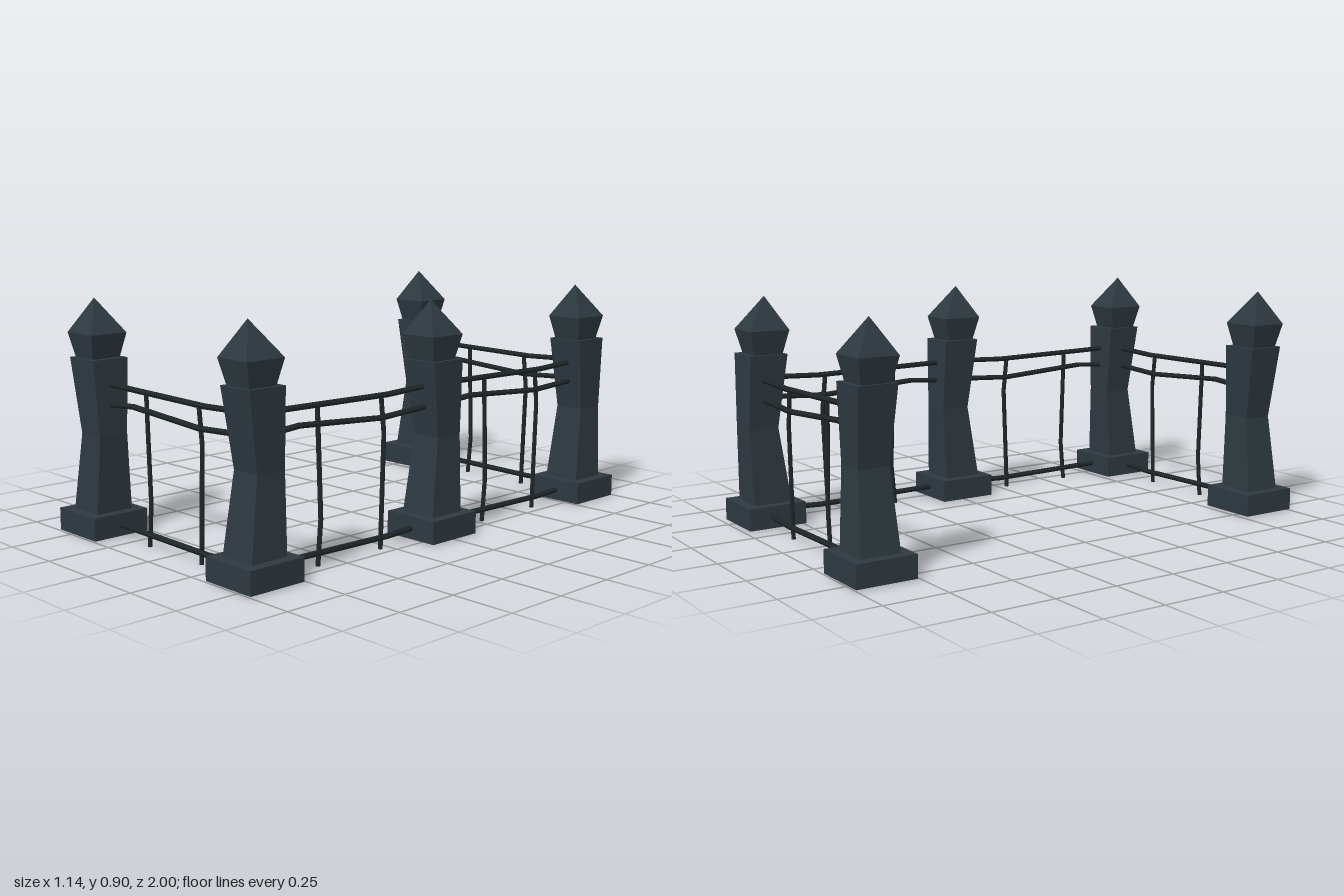
import * as THREE from 'three';

const stone = new THREE.MeshStandardMaterial({ color: 0x2e3940, flatShading: true });
stone.name = 'slate stone';
const iron = new THREE.MeshStandardMaterial({ color: 0x1f2628, flatShading: true });
iron.name = 'dark iron';

function addMesh(parent, name, geometry, material) {
  const mesh = new THREE.Mesh(geometry, material);
  mesh.name = name;
  parent.add(mesh);
  return mesh;
}

// Rebuild flat normals after moving vertices
function faceted(geometry) {
  const flat = geometry.toNonIndexed();
  flat.computeVertexNormals();
  return flat;
}

// Four-sided column through sections [y, xMin, xMax, halfDepth], listed top to bottom
function column(sections) {
  const n = sections.length - 1;
  const geometry = new THREE.BoxGeometry(1, 1, 1, 1, n, 1);
  const p = geometry.attributes.position;
  for (let i = 0; i < p.count; i++) {
    const [y, x0, x1, hz] = sections[Math.round((0.5 - p.getY(i)) * n)];
    p.setXYZ(i, THREE.MathUtils.lerp(x0, x1, p.getX(i) + 0.5), y, p.getZ(i) * 2 * hz);
  }
  return faceted(geometry);
}

// Bent bar through points [x, y]; rails run left to right, uprights top to bottom
function bar(points, radius, isRail) {
  const n = points.length - 1;
  const geometry = new THREE.CylinderGeometry(radius, radius, 1, 6, n);
  const p = geometry.attributes.position;
  for (let i = 0; i < p.count; i++) {
    const [x, y] = points[Math.round((0.5 - p.getY(i)) * n)];
    const side = p.getX(i);
    p.setXY(i, isRail ? x : x + side, isRail ? y + side : y);
  }
  return faceted(geometry);
}

// Square footing rim with a recess underneath
function footingRim() {
  const square = (Type, h) => {
    const path = new Type();
    path.moveTo(-h, -h).lineTo(h, -h).lineTo(h, h).lineTo(-h, h).closePath();
    return path;
  };
  const shape = square(THREE.Shape, 0.118);
  shape.holes.push(square(THREE.Path, 0.062));
  const geometry = new THREE.ExtrudeGeometry(shape, { depth: 0.03, bevelEnabled: false });
  return geometry.rotateX(-Math.PI / 2).translate(0, 0.005, 0);
}

const rimGeometry = footingRim();
const slabGeometry = new THREE.BoxGeometry(0.236, 0.057, 0.236).translate(0, 0.0635, 0);
const shaftGeometry = column([
  [0.675, -0.076, 0.078, 0.076],
  [0.387, -0.036, 0.085, 0.06],
  [0.09, -0.077, 0.077, 0.077],
]);
const capGeometry = column([
  [0.897, -0.018, -0.018, 0],
  [0.768, -0.086, 0.075, 0.077],
  [0.674, -0.063, 0.052, 0.059],
]);

function createPillar() {
  const pillar = new THREE.Group();
  pillar.name = 'pillar';
  addMesh(pillar, 'footingRim', rimGeometry, stone);
  addMesh(pillar, 'footing', slabGeometry, stone);
  addMesh(pillar, 'shaft', shaftGeometry, stone);
  addMesh(pillar, 'pointedCap', capGeometry, stone);
  return pillar;
}

const bars = [
  ['topRail', bar([[-0.4, 0.579], [0.19, 0.57], [0.4, 0.579]], 0.011, true)],
  ['middleRail', bar([[-0.4, 0.5], [-0.235, 0.513], [0.16, 0.488], [0.4, 0.501]], 0.011, true)],
  ['bottomRail', bar([[-0.4, 0.05], [0.19, 0.041], [0.4, 0.051]], 0.011, true)],
  ['rightUpright', bar([[-0.152, 0.575], [-0.138, 0.165], [-0.153, 0]], 0.009, false)],
  ['leftUpright', bar([[0.158, 0.57], [0.173, 0.43], [0.157, 0]], 0.009, false)],
];

function createFence() {
  const fence = new THREE.Group();
  fence.name = 'fencePanel';
  for (const [name, geometry] of bars) addMesh(fence, name, geometry, iron);
  return fence;
}

export function createModel() {
  const model = new THREE.Group();
  model.name = 'graveyardFence';
  const quarter = Math.PI / 2;

  // Placement as [x, z, turn]
  const pillars = [
    [-0.452, 0.882, 0], [-0.452, -0.882, 0],
    [0.45, 0.882, quarter], [0.45, 0.01, quarter], [0.45, -0.862, quarter],
  ];
  const fences = [
    [0, 0.882, 0], [0, -0.882, 0],
    [0.453, 0.446, quarter], [0.453, -0.43, quarter],
  ];
  const place = (make, spots) => {
    for (const [x, z, turn] of spots) {
      const part = make();
      part.position.set(x, 0, z);
      part.rotation.y = turn;
      model.add(part);
    }
  };
  place(createPillar, pillars);
  place(createFence, fences);
  return model;
}
